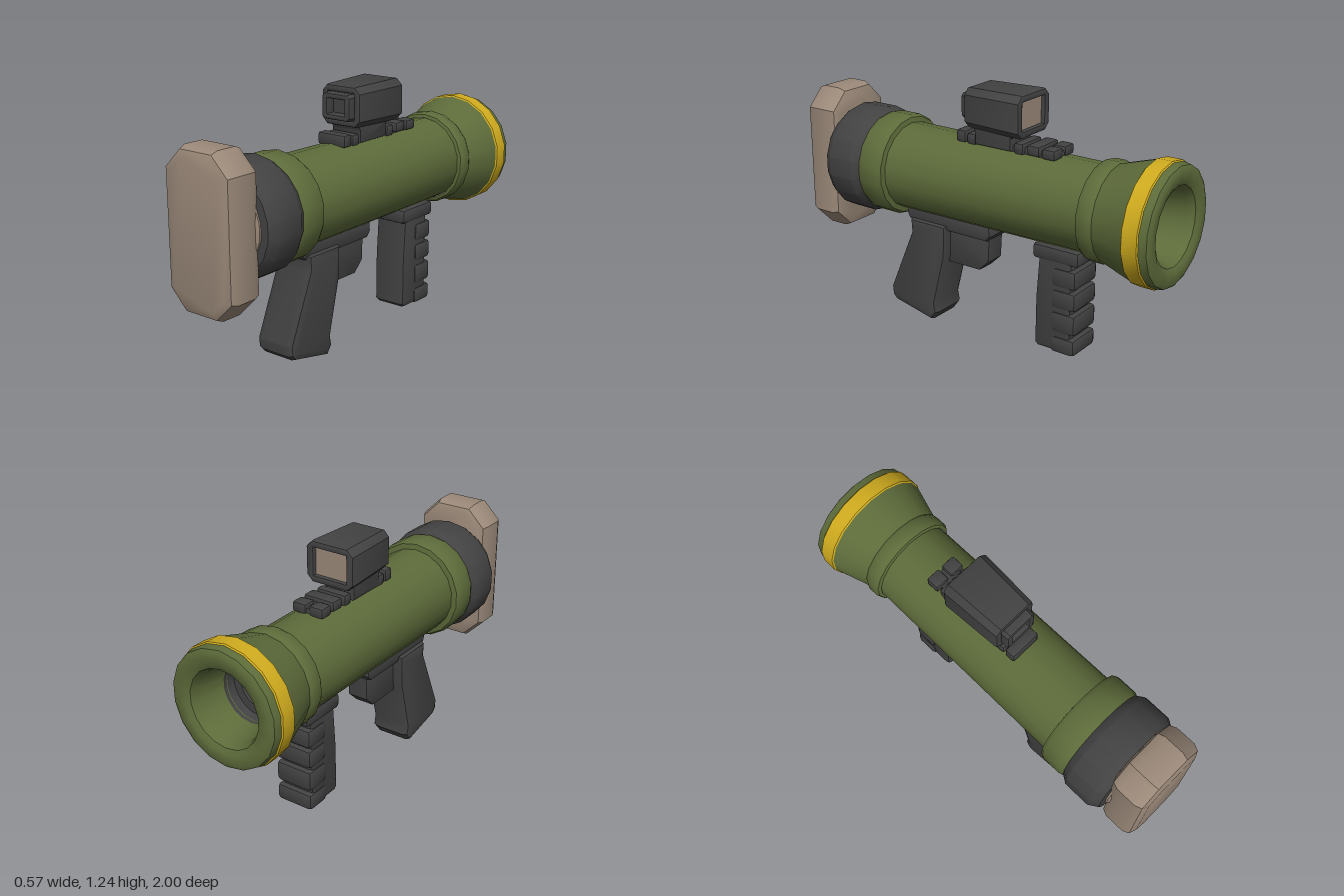
import * as THREE from 'three';
import { toCreasedNormals } from 'three/addons/utils/BufferGeometryUtils.js';
import { RoundedBoxGeometry } from 'three/addons/geometries/RoundedBoxGeometry.js';

const AXIS_Y = 0.77;

export function createModel() {
  const root = new THREE.Group();
  root.name = 'shoulderLauncher';

  const material = (name, color) => {
    const m = new THREE.MeshStandardMaterial({ color });
    m.name = name;
    return m;
  };
  const green = material('olive green', 0x5d6b3a);
  const yellow = material('warning yellow', 0xcfab1e);
  const black = material('charcoal', 0x424242);
  const tan = material('tan rubber', 0x9b8979);

  const add = (name, geometry, mat, parent = root) => {
    const mesh = new THREE.Mesh(toCreasedNormals(geometry, 0.6), mat);
    mesh.name = name;
    parent.add(mesh);
    return mesh;
  };
  const group = (name) => {
    const g = new THREE.Group();
    g.name = name;
    root.add(g);
    return g;
  };
  const vectors = (pts) => pts.map(([x, y]) => new THREE.Vector2(x, y));

  // Turned part along the tube axis: points are [radius, z], z rising on outer faces
  const turned = (name, pts, mat) => {
    const g = new THREE.LatheGeometry(vectors(pts), 18);
    g.rotateX(Math.PI / 2).translate(0, AXIS_Y, 0);
    return add(name, g, mat);
  };

  // Bevelled extrusion along z, centred on z = 0, keeping the given outline
  const bevelled = (pts, depth, bevel, hole) => {
    const shape = new THREE.Shape(vectors(pts));
    if (hole) shape.holes.push(new THREE.Path(vectors(hole)));
    const g = new THREE.ExtrudeGeometry(shape, {
      depth: depth - 2 * bevel, bevelEnabled: bevel > 0, bevelSize: bevel,
      bevelThickness: bevel, bevelOffset: -bevel, bevelSegments: 2,
    });
    return g.translate(0, 0, bevel - depth / 2);
  };
  // Side profile in [z, y], extruded across x
  const side = (pts, width, bevel, hole) => bevelled(pts, width, bevel, hole).rotateY(-Math.PI / 2);

  // Rectangle outline with cut corners
  const octagon = (w, h, c) => [
    [w - c, -h], [w, c - h], [w, h - c], [w - c, h],
    [c - w, h], [-w, h - c], [-w, c - h], [c - w, -h],
  ];
  const box = (name, w, h, d, x, y, z, parent, r = 0.012) =>
    add(name, new RoundedBoxGeometry(w, h, d, 1, r).translate(x, y, z), black, parent);

  // Tube, muzzle and rear cap
  turned('muzzleBore', [[0, -0.72], [0.09, -0.72], [0.1, -0.76], [0.14, -0.76], [0.145, -0.82]].slice(0), black);
  turned('muzzleRim', [[0.143, -0.80], [0.17, -0.95], [0.185, -0.985], [0.21, -0.998],
    [0.255, -1], [0.274, -0.99], [0.281, -0.955]], green);
  turned('warningBand', [[0.281, -0.955], [0.287, -0.95], [0.287, -0.878], [0.28, -0.872]], yellow);
  turned('flaredMuzzle', [[0.281, -0.873], [0.228, -0.70], [0.236, -0.685], [0.236, -0.635],
    [0.228, -0.62], [0.212, -0.615]], green);
  turned('tubeBody', [[0.209, -0.63], [0.216, 0.49]], green);
  turned('rearCollar', [[0.214, 0.465], [0.242, 0.47], [0.253, 0.49], [0.253, 0.59],
    [0.243, 0.612], [0.2, 0.615]], green);
  turned('rearCap', [[0.2, 0.6], [0.242, 0.605], [0.268, 0.645], [0.268, 0.78],
    [0.24, 0.825], [0.2, 0.83], [0, 0.83]], black);
  turned('padSeat', [[0.205, 0.82], [0.205, 0.838], [0.19, 0.845], [0, 0.845]], tan);

  // Shoulder pad
  add('shoulderPad', bevelled(octagon(0.19, 0.365, 0.095), 0.19, 0.045)
    .translate(0, 0.755, 0.905), tan);

  // Pistol grip with trigger and guard
  const grip = group('pistolGrip');
  add('gripPlate', side([[0.43, 0.52], [0.44, 0.54], [0.44, 0.58], [-0.06, 0.58],
    [-0.065, 0.53], [-0.04, 0.5], [0.40, 0.5]], 0.17, 0.015), black, grip);
  add('gripHandle', side([[0.41, 0.53], [0.405, 0.46], [0.545, 0.13], [0.54, 0.08], [0.515, 0.055],
    [0.285, 0.005], [0.252, 0.05], [0.262, 0.1], [0.195, 0.37], [0.19, 0.53]], 0.22, 0.03), black, grip);
  add('triggerGuard', side(
    [[0.21, 0.51], [-0.042, 0.51], [-0.036, 0.385], [0.02, 0.33], [0.21, 0.33]], 0.11, 0.008,
    [[0.185, 0.5], [-0.004, 0.5], [-0.002, 0.398], [0.034, 0.368], [0.185, 0.368]]), black, grip);
  add('trigger', side([[0.19, 0.51], [0.18, 0.46], [0.15, 0.415], [0.125, 0.385], [0.14, 0.38],
    [0.125, 0.43], [0.15, 0.465], [0.14, 0.51]].filter((p, i) => i !== 3), 0.05, 0), black, grip);

  // Ribbed front grip
  const foregrip = group('frontGrip');
  box('frontGripMount', 0.2, 0.075, 0.25, 0, 0.535, -0.44, foregrip, 0.02);
  add('frontGripCore', side([[-0.345, 0.52], [-0.33, 0.3], [-0.328, 0.065], [-0.345, 0.048],
    [-0.515, 0.048], [-0.525, 0.07], [-0.525, 0.52]], 0.18, 0.02), black, foregrip);
  for (const [y, h] of [[0.088, 0.085], [0.203, 0.105], [0.32, 0.095], [0.428, 0.095]])
    box('fingerRib', 0.198, h, 0.13, 0, y, -0.487, foregrip, 0.02);

  // Sight rail
  const rail = group('sightRail');
  box('railBase', 0.12, 0.06, 0.53, 0, 0.975, -0.145, rail);
  box('railFrontBlock', 0.16, 0.06, 0.055, 0, 1.0, 0.105, rail);
  box('railSecondBlock', 0.16, 0.055, 0.05, 0, 0.995, 0.045, rail);
  box('railMiddleBlock', 0.16, 0.055, 0.05, 0, 0.995, -0.22, rail);
  box('railRearBlock', 0.165, 0.05, 0.07, 0, 1.0, -0.3, rail);
  for (const s of [-1, 1]) box('railEndBlock', 0.075, 0.05, 0.07, s * 0.046, 0.997, -0.383, rail);
  add('sightMount', side([[0.04, 1.07], [0.02, 1.035], [0.02, 0.975], [-0.18, 0.975],
    [-0.18, 1.035], [-0.21, 1.07]], 0.17, 0.01), black, rail);

  // Sight: hollow housing that narrows toward the eyepiece
  const sight = group('sight');
  const square = (w, h) => [[-w, -h], [w, -h], [w, h], [-w, h]];
  const housing = bevelled(octagon(0.128, 0.1, 0.032), 0.315, 0.012, square(0.088, 0.066));
  const p = housing.attributes.position;
  for (let i = 0; i < p.count; i++) {
    const t = (p.getZ(i) + 0.1575) / 0.315;
    p.setX(i, p.getX(i) * (1 - 0.13 * t));
    p.setY(i, p.getY(i) * (1 - 0.06 * t));
  }
  add('sightHousing', housing.translate(0, 1.148, -0.095), black, sight);
  add('sightLens', new THREE.BoxGeometry(0.185, 0.14, 0.008).translate(0, 1.148, -0.228), tan, sight);
  add('eyepieceFrame', bevelled(octagon(0.082, 0.062, 0.015), 0.08, 0.012, square(0.05, 0.036))
    .translate(0, 1.148, 0.062), black, sight);
  add('eyepieceWindow', new THREE.BoxGeometry(0.18, 0.14, 0.03).translate(0, 1.148, 0.038), black, sight);

  return root;
}
